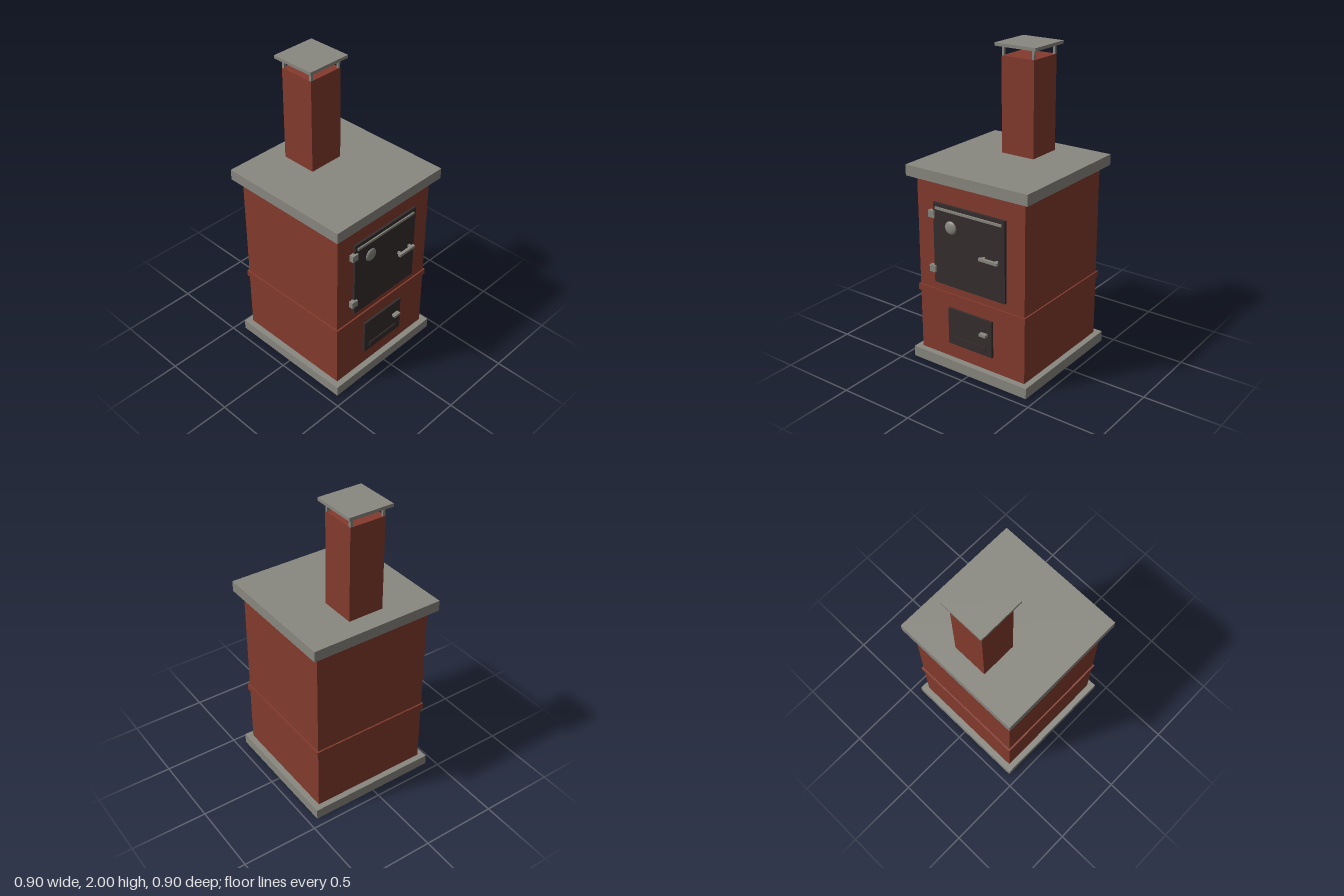
import * as THREE from 'three';

const material = (name, color) => {
  const m = new THREE.MeshStandardMaterial({ color });
  m.name = name;
  return m;
};

export function createModel() {
  const brick = material('red brick', 0x843b2d);
  const stone = material('grey stone', 0x898880);
  const iron = material('dark iron', 0x352d2e);

  const model = new THREE.Group();
  model.name = 'stove';
  const stove = new THREE.Group();
  stove.name = 'stoveParts';
  stove.position.z = -0.003;
  model.add(stove);

  // Box given by its limits on each axis
  const box = (name, mat, [x0, x1], [y0, y1], [z0, z1]) => {
    const mesh = new THREE.Mesh(new THREE.BoxGeometry(x1 - x0, y1 - y0, z1 - z0), mat);
    mesh.name = name;
    mesh.position.set((x0 + x1) / 2, (y0 + y1) / 2, (z0 + z1) / 2);
    stove.add(mesh);
  };
  // Square slab centred on x
  const slab = (name, mat, half, y, z = 0) =>
    box(name, mat, [-half, half], y, [z - half, z + half]);

  // Masonry
  slab('base', stone, 0.44, [0, 0.07]);
  slab('body', brick, 0.4, [0.07, 1.24]);
  slab('band', brick, 0.41, [0.475, 0.517]);
  slab('topSlab', stone, 0.448, [1.24, 1.31]);

  // Chimney with a rain cap on four posts
  const cz = -0.2;
  slab('chimney', brick, 0.119, [1.31, 1.92], cz);
  slab('chimneyCap', stone, 0.149, [1.98, 2], cz);
  for (const sx of [-1, 1]) for (const sz of [-1, 1]) {
    const x = sx * 0.11, z = cz + sz * 0.11;
    box('capPost', stone, [x - 0.008, x + 0.008], [1.92, 1.98], [z - 0.008, z + 0.008]);
  }

  // Oven door with trim, hinges and handle
  box('ovenDoor', iron, [-0.268, 0.268], [0.572, 1.1], [0.39, 0.416]);
  box('doorTrim', stone, [-0.25, 0.248], [1.06, 1.076], [0.41, 0.424]);
  for (const y of [1.023, 0.663])
    box('hinge', stone, [-0.298, -0.252], [y - 0.022, y + 0.022], [0.39, 0.429]);
  box('ovenHandle', stone, [0.1, 0.236], [0.822, 0.84], [0.434, 0.453]);
  for (const x of [0.12, 0.216])
    box('handlePost', stone, [x - 0.008, x + 0.008], [0.823, 0.839], [0.41, 0.436]);

  // Domed thermometer
  const dome = new THREE.SphereGeometry(0.043, 24, 8, 0, Math.PI * 2, 0, Math.PI / 2);
  dome.rotateX(Math.PI / 2);
  dome.scale(1, 1, 0.35);
  const gauge = new THREE.Mesh(dome, stone);
  gauge.name = 'thermometer';
  gauge.position.set(-0.132, 0.962, 0.416);
  stove.add(gauge);

  // Ash door with draught slide and handle
  box('ashDoor', iron, [-0.168, 0.168], [0.174, 0.418], [0.39, 0.416]);
  box('draughtSlide', iron, [-0.125, 0.125], [0.202, 0.234], [0.41, 0.424]);
  box('ashHandle', stone, [0.09, 0.14], [0.314, 0.332], [0.41, 0.444]);

  return model;
}
